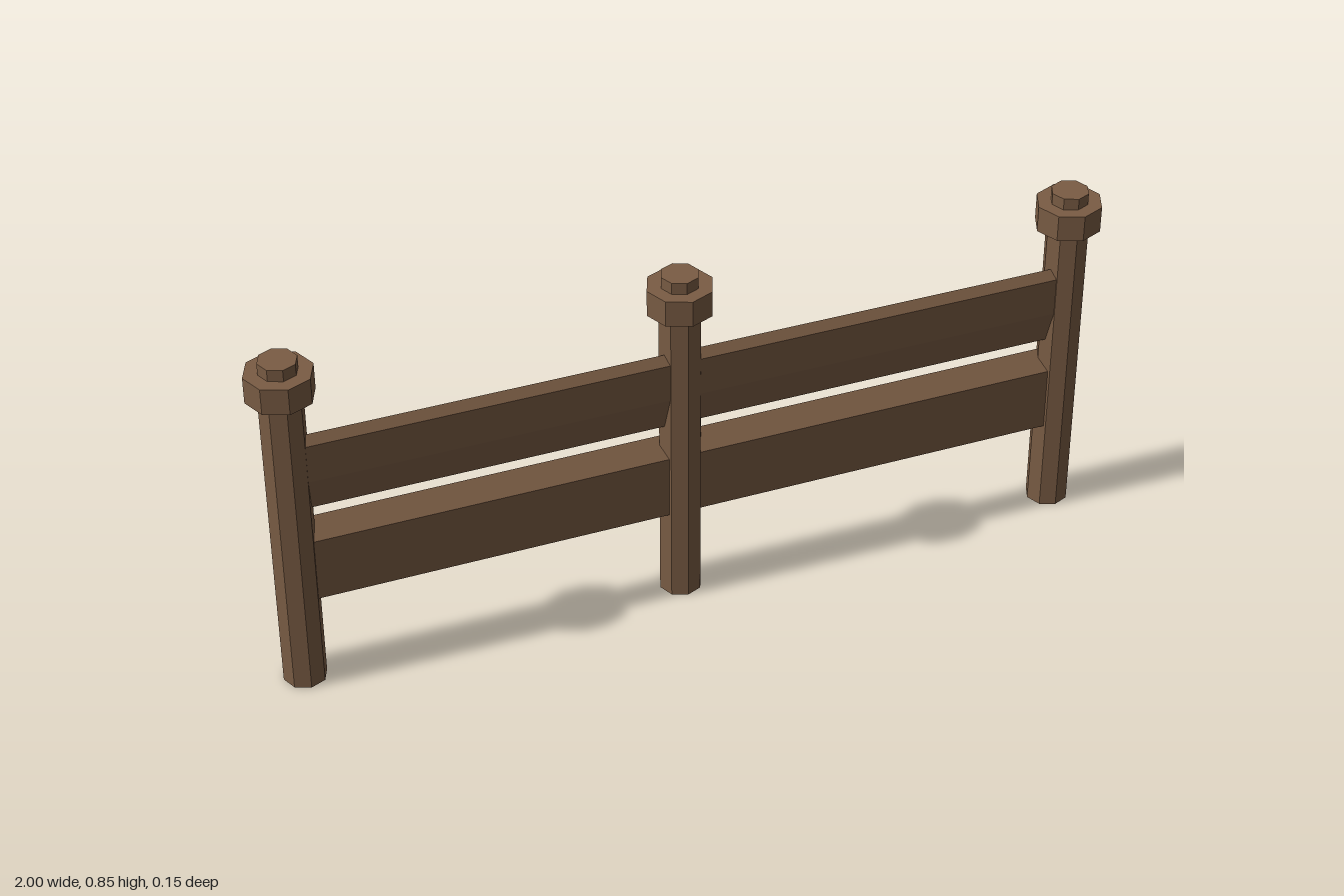
import * as THREE from 'three';

const wood = new THREE.MeshStandardMaterial({ color: 0x7a5c44, flatShading: true });

// Upright octagonal log between two heights
function octagon(name, radius, y0, y1) {
  const geo = new THREE.CylinderGeometry(radius, radius, y1 - y0, 8);
  const mesh = new THREE.Mesh(geo, wood);
  mesh.name = name;
  mesh.position.y = (y0 + y1) / 2;
  return mesh;
}

// Post with a wide collar and a small peg on top
function fencePost(name, x) {
  const post = new THREE.Group();
  post.name = name;
  post.add(
    octagon('shaft', 0.05, 0, 0.77),
    octagon('collar', 0.077, 0.757, 0.82),
    octagon('peg', 0.044, 0.81, 0.848)
  );
  post.position.x = x;
  return post;
}

// Rough-hewn board section as [z, y]: flat on one side, ridged on the other
const section = [
  [0.03, 0], [0.03, 0.155], [-0.016, 0.192], [-0.034, 0.172], [-0.034, 0.08], [-0.016, 0]
];

function rail(name, x0, x1, y, flip) {
  const shape = new THREE.Shape(section.map(([z, h]) => new THREE.Vector2(-z, h)));
  const length = x1 - x0;
  const geo = new THREE.ExtrudeGeometry(shape, { depth: length, bevelEnabled: false });
  geo.translate(0, 0, -length / 2).rotateY(Math.PI / 2);
  const mesh = new THREE.Mesh(geo, wood);
  mesh.name = name;
  mesh.position.set((x0 + x1) / 2, y, 0);
  if (flip) mesh.rotation.y = Math.PI;
  return mesh;
}

export function createModel() {
  const fence = new THREE.Group();
  fence.name = 'fence';

  const posts = [['rightPost', -0.923], ['middlePost', -0.023], ['leftPost', 0.923]];
  for (const [name, x] of posts) fence.add(fencePost(name, x));

  // Two boards in each bay; the upper ones are turned round
  for (let i = 0; i < 2; i++) {
    const side = i ? 'Left' : 'Right';
    const x0 = posts[i][1], x1 = posts[i + 1][1];
    fence.add(rail('lowerRail' + side, x0, x1, 0.226, false));
    fence.add(rail('upperRail' + side, x0, x1, 0.464, true));
  }
  return fence;
}
